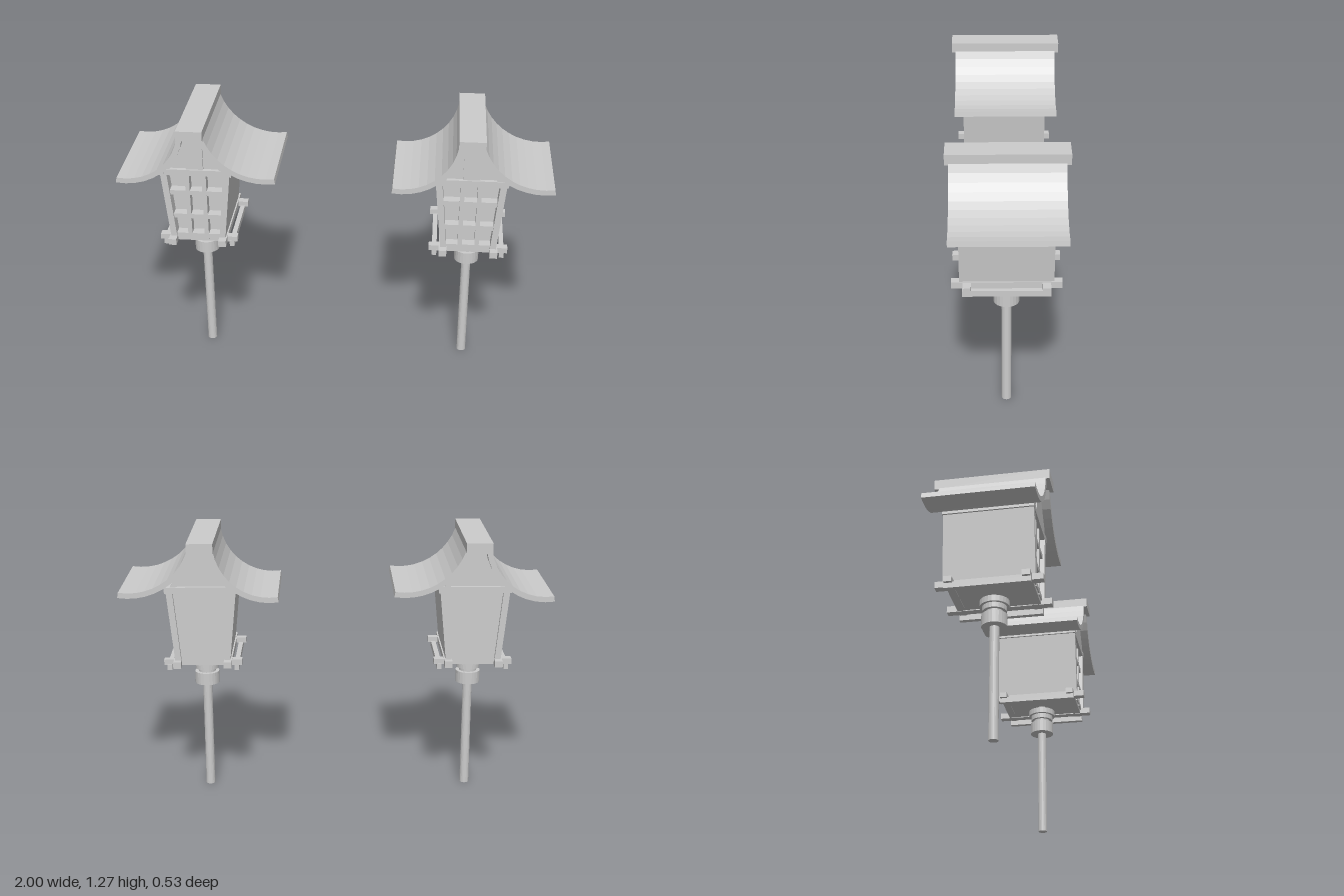
import * as THREE from 'three';

const mat = new THREE.MeshStandardMaterial({ color: 0xcccccc, flatShading: true });

function add(parent, name, geo, x = 0, y = 0, z = 0) {
  const m = new THREE.Mesh(geo, mat);
  m.name = name;
  m.position.set(x, y, z);
  parent.add(m);
  return m;
}

// box given by its min and max corners
function span(parent, name, x0, x1, y0, y1, z0, z1) {
  return add(parent, name, new THREE.BoxGeometry(x1 - x0, y1 - y0, z1 - z0),
    (x0 + x1) / 2, (y0 + y1) / 2, (z0 + z1) / 2);
}

// polygon in x,y extruded from z0 to z1
function prism(parent, name, pts, z0, z1) {
  const shape = new THREE.Shape(pts.map(([x, y]) => new THREE.Vector2(x, y)));
  const geo = new THREE.ExtrudeGeometry(shape, { depth: z1 - z0, bevelEnabled: false });
  return add(parent, name, geo, 0, 0, z0);
}

// curved roof slab: an arc band swept along z
function roofWing(parent, name, cx, cy, r, thick, fromDeg, toDeg) {
  const pts = [], n = 10;
  const at = (rad, i) => {
    const a = THREE.MathUtils.degToRad(fromDeg + (toDeg - fromDeg) * i / n);
    return [cx + rad * Math.cos(a), cy + rad * Math.sin(a)];
  };
  for (let i = 0; i <= n; i++) pts.push(at(r, i));
  for (let i = n; i >= 0; i--) pts.push(at(r + thick, i));
  prism(parent, name, pts, -0.253, 0.243);
}

const Y0 = 0.69, Y1 = 1.055;
// half width of the tapered body at a height
const halfWidth = (y) => 0.128 + 0.035 * (y - 0.7) / (Y1 - 0.7);

function buildLantern() {
  const g = new THREE.Group();

  // pole and stepped collar
  add(g, 'pole', new THREE.CylinderGeometry(0.022, 0.022, 0.69, 20), 0, 0.345, 0);
  const collar = [[0, 0.53], [0.058, 0.53], [0.058, 0.588], [0.041, 0.588], [0.041, 0.604],
    [0.055, 0.604], [0.055, 0.628], [0.067, 0.628], [0.067, 0.656], [0, 0.656]];
  add(g, 'collar', new THREE.LatheGeometry(collar.map(([x, y]) => new THREE.Vector2(x, y)), 24));

  // base floor and crossing beams
  span(g, 'floor', -0.13, 0.13, 0.68, 0.7, -0.19, 0.19);
  for (const s of [-1, 1]) {
    const c = s * 0.117, o = s * 0.156, z = s * 0.172;
    span(g, 'baseRail', c - 0.018, c + 0.018, 0.676, 0.706, -0.24, 0.24);
    span(g, 'outerRail', o - 0.011, o + 0.011, 0.654, 0.682, -0.192, 0.192);
    span(g, 'baseCrossBeam', -0.182, 0.182, 0.678, 0.704, z - 0.018, z + 0.018);
  }

  // leaning side walls and the purlins at their tops
  for (const s of [-1, 1]) {
    const wall = [[halfWidth(Y0) - 0.028, Y0], [halfWidth(Y0), Y0],
      [halfWidth(Y1), Y1], [halfWidth(Y1) - 0.03, Y1]].map(([x, y]) => [s * x, y]);
    prism(g, 'sideWall', wall, -0.205, 0.205);
    const p = s * 0.155;
    span(g, 'purlin', p - 0.013, p + 0.013, 1.026, 1.056, -0.207, 0.207);
  }

  // front and back panels between the walls
  const b0 = halfWidth(Y0) - 0.015, b1 = halfWidth(Y1) - 0.015;
  const panel = [[-b0, Y0], [b0, Y0], [b1, Y1], [-b1, Y1]];
  prism(g, 'frontPanel', panel, 0.135, 0.15);
  prism(g, 'backPanel', panel, -0.188, -0.172);

  // front lattice
  for (const s of [-1, 1]) span(g, 'latticeUpright', s * 0.039 - 0.01, s * 0.039 + 0.01, Y0, 1.04, 0.15, 0.195);
  for (const y of [0.707, 0.809, 0.932]) {
    const w = halfWidth(y) - 0.015;
    span(g, 'latticeBar', -w, w, y - 0.011, y + 0.011, 0.15, 0.195);
  }

  // gables: tie beam, infill, rafters
  for (const s of [-1, 1]) {
    const zs = (a, b) => (s > 0 ? [a, b] : [-b, -a]);
    span(g, 'tieBeam', -0.163, 0.163, 1.026, 1.056, ...zs(0.172, 0.206));
    prism(g, 'gablePanel', [[-0.135, 1.05], [0.135, 1.05], [0.035, 1.23], [-0.035, 1.23]], ...zs(0.17, 0.188));
    for (const m of [-1, 1]) {
      const rafter = [[0.118, 1.05], [0.145, 1.05], [0.045, 1.22], [0.025, 1.22]].map(([x, y]) => [m * x, y]);
      prism(g, 'rafter', rafter, ...zs(0.18, 0.204));
    }
  }
  span(g, 'kingPost', -0.039, 0.039, 1.05, 1.23, 0.18, 0.198);

  // sweeping roof and ridge cap
  roofWing(g, 'leftRoof', 0.326, 1.331, 0.289, 0.025, 199.4, 279);
  roofWing(g, 'rightRoof', -0.317, 1.275, 0.255, 0.025, -9, -98.6);
  span(g, 'ridgeCap', -0.066, 0.054, 1.227, 1.275, -0.272, 0.26);
  return g;
}

export function createModel() {
  const model = new THREE.Group();
  model.name = 'lanternPair';
  [['rightLantern', -0.64], ['leftLantern', 0.622]].forEach(([name, x]) => {
    const lantern = buildLantern();
    lantern.name = name;
    lantern.position.set(x, 0, 0.006);
    model.add(lantern);
  });
  return model;
}
